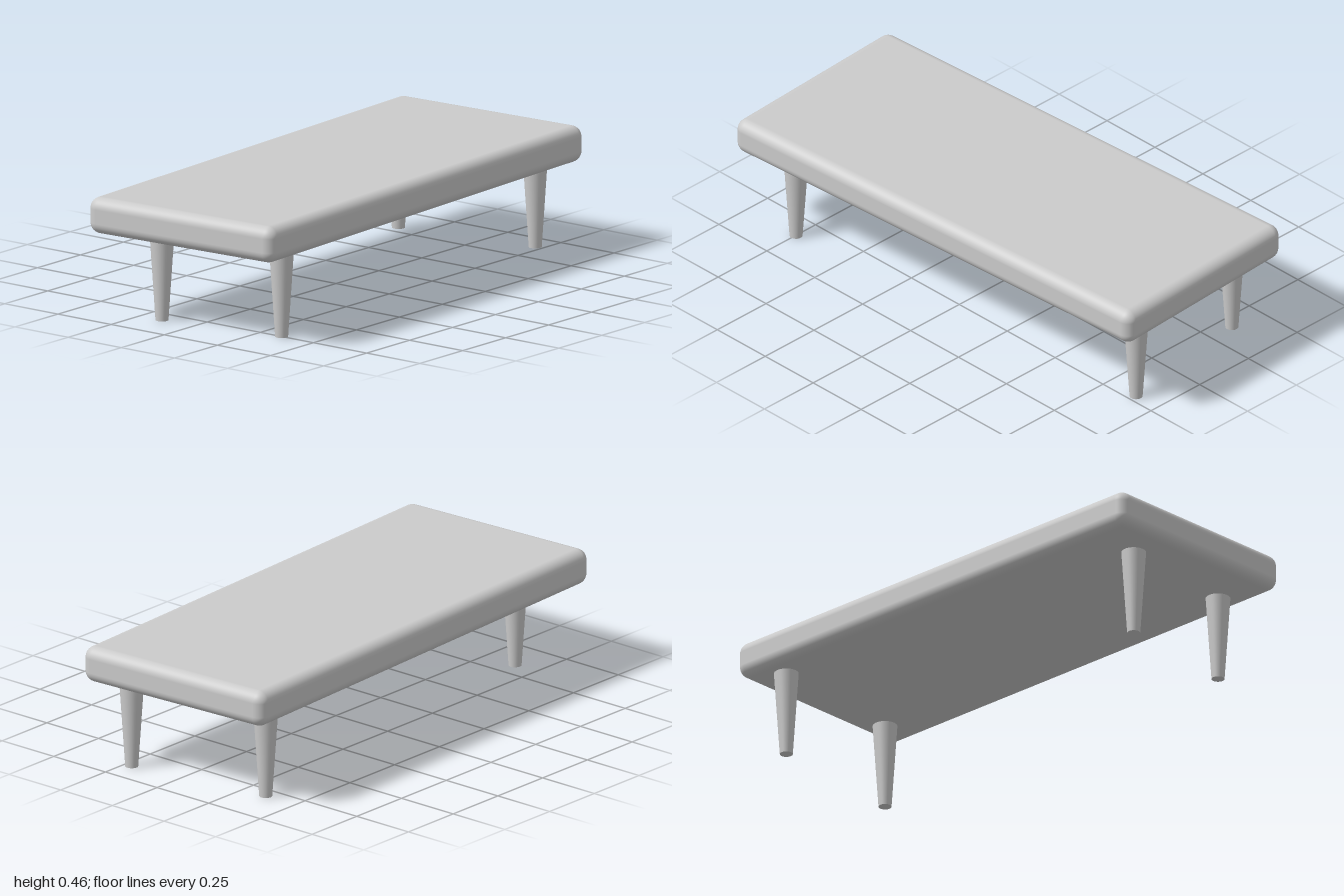
import * as THREE from 'three';
import { RoundedBoxGeometry } from 'three/addons/geometries/RoundedBoxGeometry.js';

export function createModel() {
  const model = new THREE.Group();
  model.name = 'lowTable';
  const material = new THREE.MeshStandardMaterial({ color: 0xcccccc });

  // Thick rounded top, turned slightly about the vertical
  const bottom = 0.325, top = 0.462;
  const slab = new THREE.Mesh(
    new RoundedBoxGeometry(0.837, top - bottom, 1.963, 6, 0.042), material);
  slab.name = 'tableTop';
  slab.position.y = (bottom + top) / 2;
  slab.rotation.y = THREE.MathUtils.degToRad(3);
  model.add(slab);

  // Tapered round legs, placed a little irregularly: [name, x, z]
  const legGeometry = new THREE.CylinderGeometry(0.0455, 0.024, bottom, 32);
  legGeometry.translate(0, bottom / 2, 0);
  const legs = [
    ['frontRightLeg', -0.148, 0.83],
    ['frontLeftLeg', 0.35, 0.75],
    ['backRightLeg', -0.357, -0.805],
    ['backLeftLeg', 0.218, -0.89],
  ];
  for (const [name, x, z] of legs) {
    const leg = new THREE.Mesh(legGeometry, material);
    leg.name = name;
    leg.position.set(x, 0, z);
    model.add(leg);
  }
  return model;
}
